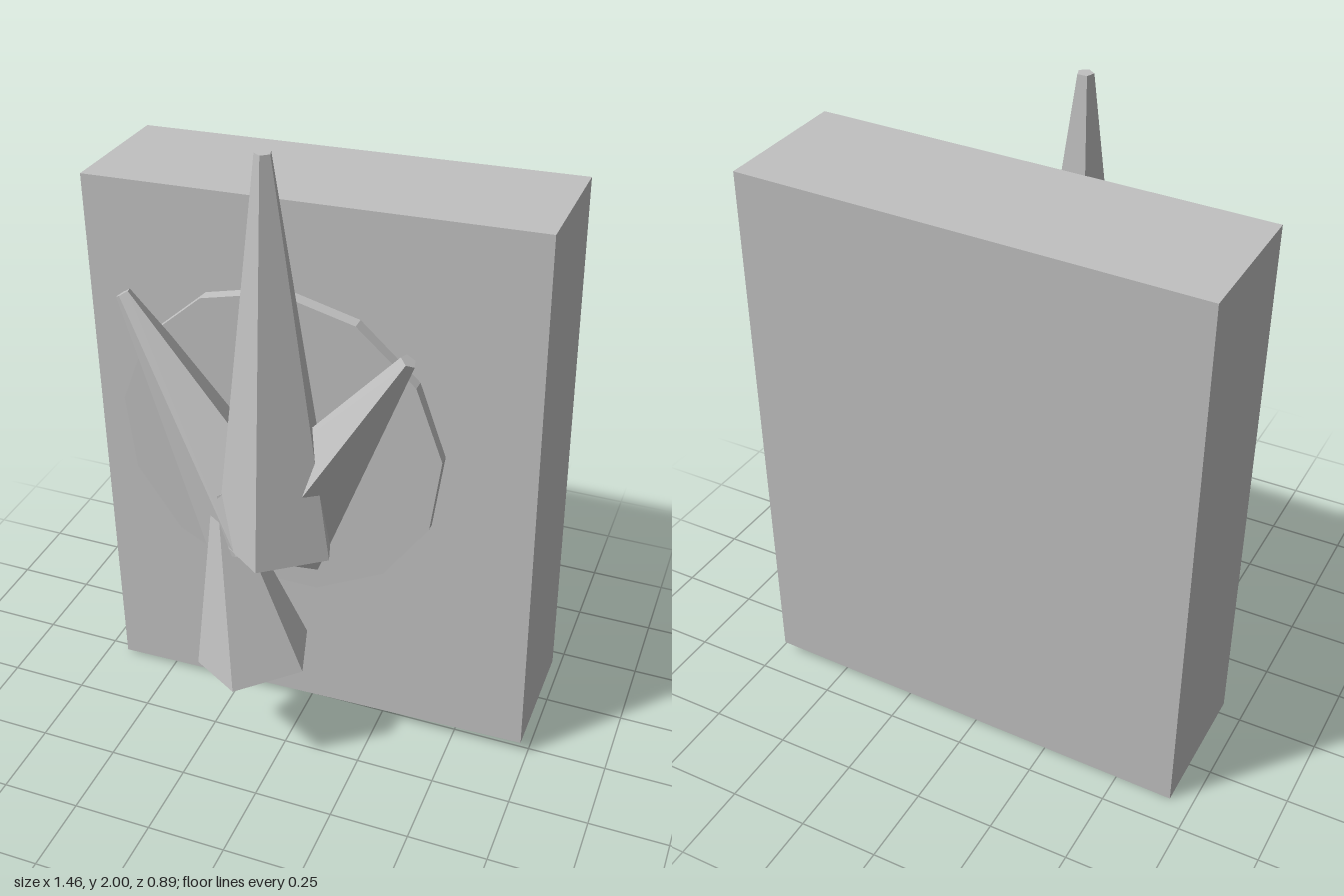
import * as THREE from 'three';

export function createModel() {
  const group = new THREE.Group();
  const grey = new THREE.MeshStandardMaterial({ color: 0xc0c0c0, flatShading: true });
  grey.name = 'plain grey';

  const add = (name, geometry) => {
    const mesh = new THREE.Mesh(geometry, grey);
    mesh.name = name;
    group.add(mesh);
    return mesh;
  };

  // Thick backing block, slightly skewed
  const board = add('backingBlock', new THREE.BoxGeometry(1.41, 1.76, 0.44));
  board.position.set(0, 0.907, -0.205);
  board.rotation.set(-0.022, 0, 0.027);

  // Thin thirteen-sided disc on the front; a vertex points straight up
  const disc = add('disc', new THREE.CylinderGeometry(0.52, 0.52, 0.05, 13, 1, false, Math.PI));
  disc.rotation.x = Math.PI / 2;
  disc.position.set(-0.095, 1.0, 0.02);

  // Five-sided tapering spike from the centre of its wide end to its tip
  const up = new THREE.Vector3(0, 1, 0);
  const spike = (name, base, tip) => {
    const a = new THREE.Vector3(...base);
    const b = new THREE.Vector3(...tip);
    const dir = b.clone().sub(a);
    const mesh = add(name, new THREE.CylinderGeometry(0.025, 0.19, dir.length(), 5));
    mesh.position.copy(a).add(b).multiplyScalar(0.5);
    mesh.quaternion.setFromUnitVectors(up, dir.normalize());
  };
  spike('middleSpike', [-0.03, 0.78, 0.2], [-0.07, 2.0, 0.18]);
  spike('rightSpike', [-0.12, 0.757, 0.13], [-0.567, 1.455, 0.085]);
  spike('leftSpike', [-0.066, 0.78, 0.13], [0.345, 1.455, 0.17]);
  spike('lowerStem', [-0.09, 0.345, 0.258], [-0.205, 0.93, 0.235]);

  return group;
}
